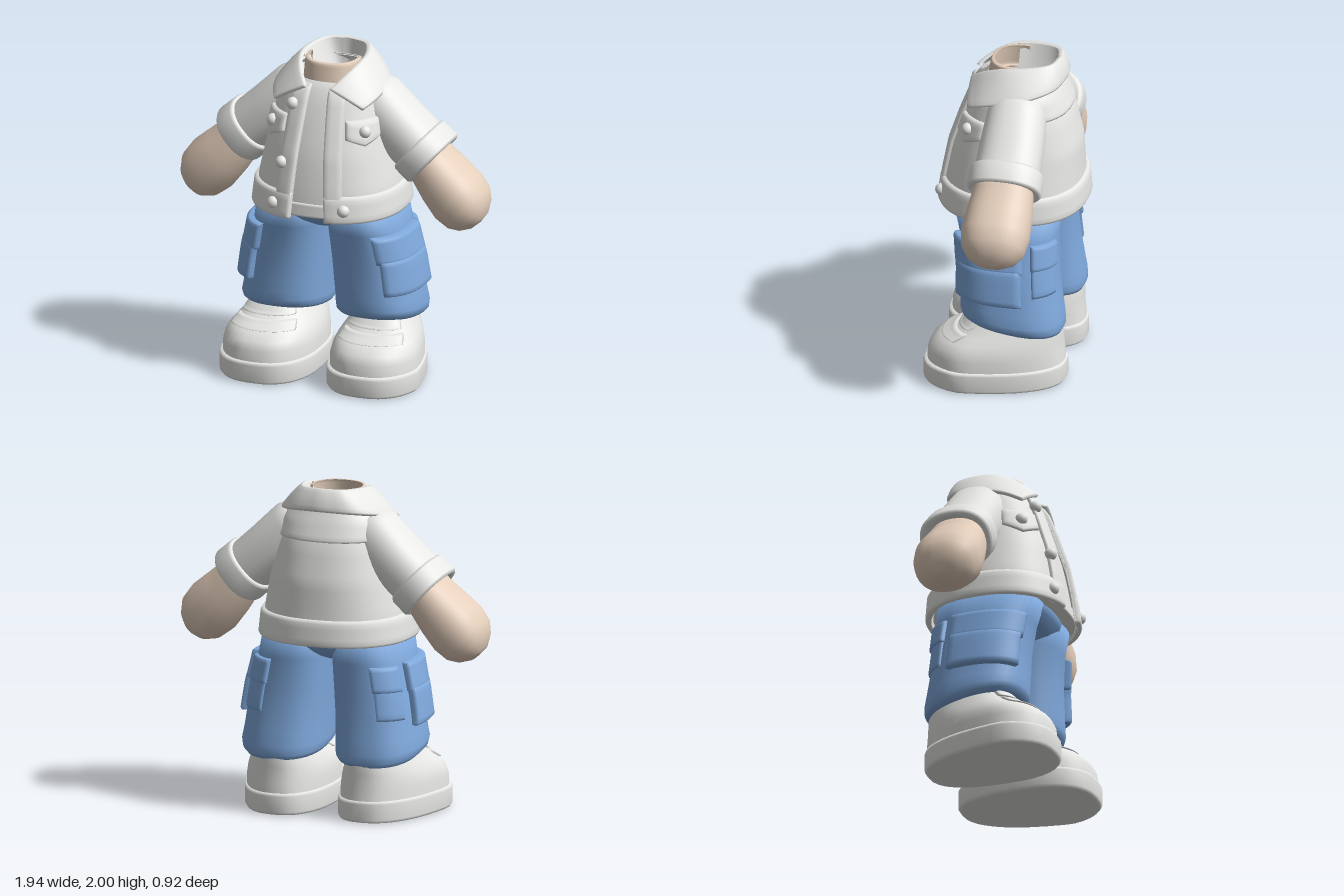
import * as THREE from 'three';

const TAU = Math.PI * 2;
const mix = THREE.MathUtils.lerp;

const material = (name, color) => {
  const m = new THREE.MeshStandardMaterial({ color, side: THREE.DoubleSide });
  m.name = name;
  return m;
};

// Upright surface through rows [y, centreX, centreZ, radiusX, radiusZ]; angle 0 faces the front
function profile(rows, n = 2.3, warp = p => p) {
  const at = y => {
    let i = 0;
    while (i < rows.length - 2 && y > rows[i + 1][0]) i++;
    const [a, b] = [rows[i], rows[i + 1]];
    const k = THREE.MathUtils.clamp((y - a[0]) / (b[0] - a[0] || 1), 0, 1);
    return a.map((v, j) => mix(v, b[j], k));
  };
  const bend = v => Math.sign(v) * Math.abs(v) ** (2 / n);
  const ring = (r, t, off = 0) => warp(new THREE.Vector3(
    r[1] + (r[3] + off) * bend(Math.sin(t)), r[0], r[2] + (r[4] + off) * bend(Math.cos(t))));
  return {
    rows, ring,
    point: (t, y, off = 0) => ring(at(y), t, off),
    // angle at which the front half reaches a given x
    angle: (x, y) => Math.asin(Math.min(1, x / at(y)[3]) ** (n / 2)),
  };
}

function grid(points, nu, nv) {
  const g = new THREE.BufferGeometry().setFromPoints(points), index = [];
  for (let j = 0; j < nv - 1; j++) for (let i = 0; i < nu - 1; i++) {
    const a = j * nu + i, c = a + nu;
    index.push(a, a + 1, c, a + 1, c + 1, c);
  }
  g.setIndex(index);
  g.computeVertexNormals();
  return g;
}

// Closed tube through all rows of a profile
function loft(p, seg = 36) {
  const n = p.rows.length, pts = [], index = [];
  for (const r of p.rows) for (let i = 0; i < seg; i++) pts.push(p.ring(r, (i / seg) * TAU));
  for (let j = 0; j < n - 1; j++) for (let i = 0; i < seg; i++) {
    const a = j * seg + i, b = j * seg + (i + 1) % seg;
    index.push(a, b, a + seg, b, b + seg, a + seg);
  }
  const g = new THREE.BufferGeometry().setFromPoints(pts);
  g.setIndex(index);
  g.computeVertexNormals();
  return g;
}

// Raised panel with rounded rim over surf(u, v, offset)
function panel(surf, thick, nu = 14, nv = 8, eu = 0.04, ev = 0.06) {
  const steps = (n, e) => {
    const s = [[0, 0], [0, 0.75]];
    for (let i = 0; i <= n; i++) s.push([mix(e, 1 - e, i / n), 1]);
    return [...s, [1, 0.75], [1, 0]];
  };
  const us = steps(nu, eu), vs = steps(nv, ev), pts = [];
  for (const [v, lv] of vs) for (const [u, lu] of us)
    pts.push(surf(u, v, mix(-0.012, thick, Math.min(lu, lv))));
  return grid(pts, us.length, vs.length);
}

// Panel over a plain angle and height range
const patch = (p, t0, t1, y0, y1, thick, base = 0) =>
  panel((u, v, o) => p.point(mix(t0, t1, u), mix(y0, y1, v), o + base), thick);

function mirror(g) {
  const m = g.clone().scale(-1, 1, 1), ix = m.index.array;
  for (let i = 0; i < ix.length; i += 3) [ix[i], ix[i + 1]] = [ix[i + 1], ix[i]];
  m.computeVertexNormals();
  return m;
}

export function createModel() {
  const model = new THREE.Group();
  const white = material('off white cloth', 0xe9e9e7);
  const skin = material('skin', 0xe5cfbc);
  const blue = material('blue trousers', 0x80aade);
  const add = (name, g, mat) => {
    const m = new THREE.Mesh(g, mat);
    m.name = name;
    model.add(m);
  };
  const pair = (name, g, mat) => {
    add(name + 'Left', g, mat);
    add(name + 'Right', mirror(g), mat);
  };

  // Shoes: narrow at the heel, wide and turned out at the toe
  const foot = p => {
    const k = THREE.MathUtils.clamp((p.z + 0.39) / 0.6, 0, 1);
    p.x = 0.28 + 0.062 * k + p.x * (0.235 + 0.068 * k) / 0.3;
    return p;
  };
  const sole = profile([[0, 0, 0.035, 0.001, 0.001], [0, 0, 0.035, 0.27, 0.4], [0.003, 0, 0.035, 0.285, 0.413],
    [0.02, 0, 0.035, 0.298, 0.425], [0.115, 0, 0.035, 0.298, 0.425], [0.133, 0, 0.033, 0.292, 0.418],
    [0.136, 0, 0.033, 0.25, 0.38]], 2.5, foot);
  const upper = profile([[0.12, 0, 0.03, 0.284, 0.41], [0.2, 0, 0.03, 0.282, 0.404], [0.25, 0, 0.02, 0.272, 0.39],
    [0.29, 0, -0.005, 0.256, 0.365], [0.33, 0, -0.045, 0.233, 0.325], [0.38, 0, -0.08, 0.205, 0.285],
    [0.43, 0, -0.1, 0.178, 0.26], [0.46, 0, -0.1, 0.15, 0.23], [0.47, 0, -0.1, 0.001, 0.001]], 2.4, foot);
  pair('shoeSole', loft(sole), white);
  pair('shoeUpper', loft(upper), white);
  pair('shoeStrapLower', patch(upper, -0.85, 0.85, 0.3, 0.345, 0.018), white);
  pair('shoeStrapUpper', patch(upper, -0.8, 0.8, 0.365, 0.42, 0.022), white);

  // Trousers: hem rises towards the front
  const hem = p => {
    p.y += Math.max(0, (0.6 - p.y) / 0.25) * (p.z + 0.2) * 0.15;
    return p;
  };
  const leg = profile([[0.39, 0.295, -0.075, 0.001, 0.001], [0.375, 0.295, -0.075, 0.2, 0.25],
    [0.36, 0.295, -0.075, 0.235, 0.29], [0.385, 0.298, -0.07, 0.256, 0.308], [0.43, 0.3, -0.065, 0.262, 0.312],
    [0.5, 0.293, -0.06, 0.256, 0.306], [0.62, 0.282, -0.05, 0.252, 0.298], [0.75, 0.267, -0.045, 0.247, 0.293],
    [0.95, 0.236, -0.03, 0.232, 0.3], [1.1, 0.215, -0.015, 0.222, 0.325], [1.12, 0.215, -0.015, 0.001, 0.001]], 2.4, hem);
  pair('trouserLeg', loft(leg), blue);
  add('trouserSeat', loft(profile([[0.93, 0, -0.02, 0.001, 0.12], [0.96, 0, -0.02, 0.1, 0.2],
    [1.0, 0, -0.015, 0.28, 0.262], [1.05, 0, -0.01, 0.4, 0.312], [1.12, 0, -0.01, 0.43, 0.335],
    [1.13, 0, -0.01, 0.001, 0.001]])), blue);
  pair('cargoPocket', patch(leg, 0.47, 1.87, 0.575, 0.81, 0.045), blue);
  pair('cargoPocketFlap', patch(leg, 0.4, 1.9, 0.78, 0.95, 0.042), blue);
  pair('backPocket', patch(leg, 2.12, 2.85, 0.62, 0.9, 0.012), blue);
  pair('backPocketFlap', patch(leg, 2.1, 2.88, 0.79, 0.94, 0.024), blue);

  // Jacket body, open down the front
  const body = profile([[1.07, 0, -0.01, 0.45, 0.43], [1.25, 0, -0.015, 0.43, 0.412], [1.45, 0, -0.03, 0.39, 0.388],
    [1.65, 0, -0.04, 0.35, 0.33], [1.8, 0, -0.04, 0.31, 0.27], [1.87, 0, -0.05, 0.25, 0.225],
    [1.93, 0, -0.05, 0.2, 0.2]]);
  const opening = y => mix(0.11, 0.06, (y - 1.07) / 0.75);
  const around = (u, y) => {
    const t0 = body.angle(opening(y), y);
    return mix(t0, TAU - t0, u);
  };
  add('jacketBody', panel((u, v, o) => {
    const top = 1.85 + 0.05 * Math.sin(u * Math.PI), y = mix(1.07, top, v);
    return body.point(around(u, y), y, o);
  }, 0, 56, 20, 0.01, 0.02), white);
  add('jacketHem', panel((u, v, o) => {
    const y = mix(1.065, 1.23, v);
    return body.point(around(u, y), y, o);
  }, 0.024, 56, 4, 0.006, 0.12), white);
  add('jacketUnderside', loft(profile([[1.1, 0, -0.01, 0.37, 0.28], [1.085, 0, -0.01, 0.435, 0.405]])), white);
  pair('buttonPlacket', panel((u, v, o) => {
    const y = mix(1.065, 1.84, v);
    return body.point(body.angle(opening(y) + 0.105 * u, y), y, o);
  }, 0.02, 4, 20, 0.12, 0.02), white);
  add('backYoke', patch(body, Math.PI - 1.15, Math.PI + 1.15, 1.69, 1.89, 0.016), white);

  // Pointed chest pocket flaps
  pair('chestPocketFlap', panel((u, v, o) => {
    const low = 1.565 - 0.045 * (1 - Math.abs(2 * u - 1));
    return body.point(mix(0.5, 1.2, u), mix(low, 1.67, v), o);
  }, 0.022, 10, 4, 0.06, 0.1), white);

  // Buttons
  const button = (t, y) => {
    const p = body.point(t, y, 0.018);
    return new THREE.SphereGeometry(0.038, 16, 12).translate(p.x, p.y, p.z);
  };
  pair('chestPocketButton', button(0.85, 1.605), white);
  pair('hemButton', button(body.angle(0.215, 1.15), 1.15), white);
  for (const [x, y] of [[0.175, 1.4], [0.145, 1.74]])
    add('frontButton', button(-body.angle(x, y), y), white);

  // Shirt and neck
  add('shirtFront', patch(body, -1.4, 1.4, 1.09, 1.86, 0, -0.024), white);
  add('shirtHem', patch(body, -0.7, 0.7, 1.085, 1.165, 0.01, -0.024), white);
  const neck = profile([[1.83, 0, -0.04, 0.17, 0.185], [1.97, 0, -0.04, 0.16, 0.16]]);
  add('neck', patch(neck, -1.7, 1.7, 1.83, 1.97, 0.008), skin);

  // Collar: folded band between a neck edge and a lower edge, ending in outward points
  const curve = pts => new THREE.CatmullRomCurve3(pts.map(p => new THREE.Vector3(...p)));
  const neckEdge = curve([[0, 2, -0.285], [0.12, 1.997, -0.25], [0.183, 1.985, -0.1], [0.183, 1.97, 0.02],
    [0.14, 1.92, 0.14], [0.075, 1.85, 0.235]]);
  const lowEdge = curve([[0, 1.87, -0.33], [0.2, 1.86, -0.285], [0.315, 1.83, -0.14], [0.34, 1.805, 0],
    [0.325, 1.775, 0.12], [0.28, 1.74, 0.215]]);
  const edge = (c, u) => {
    const p = c.getPoint(Math.abs(1 - 2 * u));
    if (u > 0.5) p.x *= -1;
    return p;
  };
  add('collar', panel((u, v, o) => {
    const p = edge(lowEdge, u).lerp(edge(neckEdge, u), v);
    const out = new THREE.Vector3(p.x, 0.15, p.z + 0.04).normalize();
    return p.addScaledVector(out, o + 0.008 * Math.sin(v * Math.PI));
  }, 0.012, 40, 6, 0.012, 0.06), white);
  add('collarLining', panel((u, v, o) => {
    const p = edge(neckEdge, mix(0.22, 0.78, u));
    p.x *= mix(0.5, 0.97, v);
    p.y -= mix(0.2, 0.008, v);
    return p;
  }, 0, 24, 4), white);

  // Arms: built hanging, then swung outwards from the shoulder
  const limb = rows => loft(profile(rows, 2.3)).rotateZ(0.85).translate(0.25, 1.7, -0.08);
  pair('sleeve', limb([[-0.47, 0, 0, 0.16, 0.195], [-0.36, 0, 0, 0.165, 0.197], [-0.2, 0, 0, 0.168, 0.192],
    [0, 0, 0, 0.178, 0.18], [0.07, 0, 0, 0.155, 0.155], [0.13, 0, 0, 0.1, 0.11], [0.17, 0, 0, 0.001, 0.001]]), white);
  pair('sleeveCuff', limb([[-0.46, 0, 0, 0.12, 0.16], [-0.49, 0, 0, 0.15, 0.185], [-0.497, 0, 0, 0.172, 0.208],
    [-0.48, 0, 0, 0.188, 0.226], [-0.375, 0, 0, 0.187, 0.224], [-0.358, 0, 0, 0.178, 0.21],
    [-0.355, 0, 0, 0.15, 0.18]]), white);
  pair('hand', limb([[-0.955, -0.06, 0.015, 0.001, 0.001], [-0.945, -0.06, 0.015, 0.06, 0.085],
    [-0.905, -0.058, 0.015, 0.12, 0.15], [-0.845, -0.052, 0.015, 0.163, 0.19], [-0.75, -0.046, 0.015, 0.178, 0.207],
    [-0.62, -0.036, 0.01, 0.163, 0.198], [-0.5, -0.022, 0.005, 0.144, 0.183], [-0.42, 0, 0, 0.135, 0.165],
    [-0.41, 0, 0, 0.001, 0.001]]), skin);

  return model;
}
